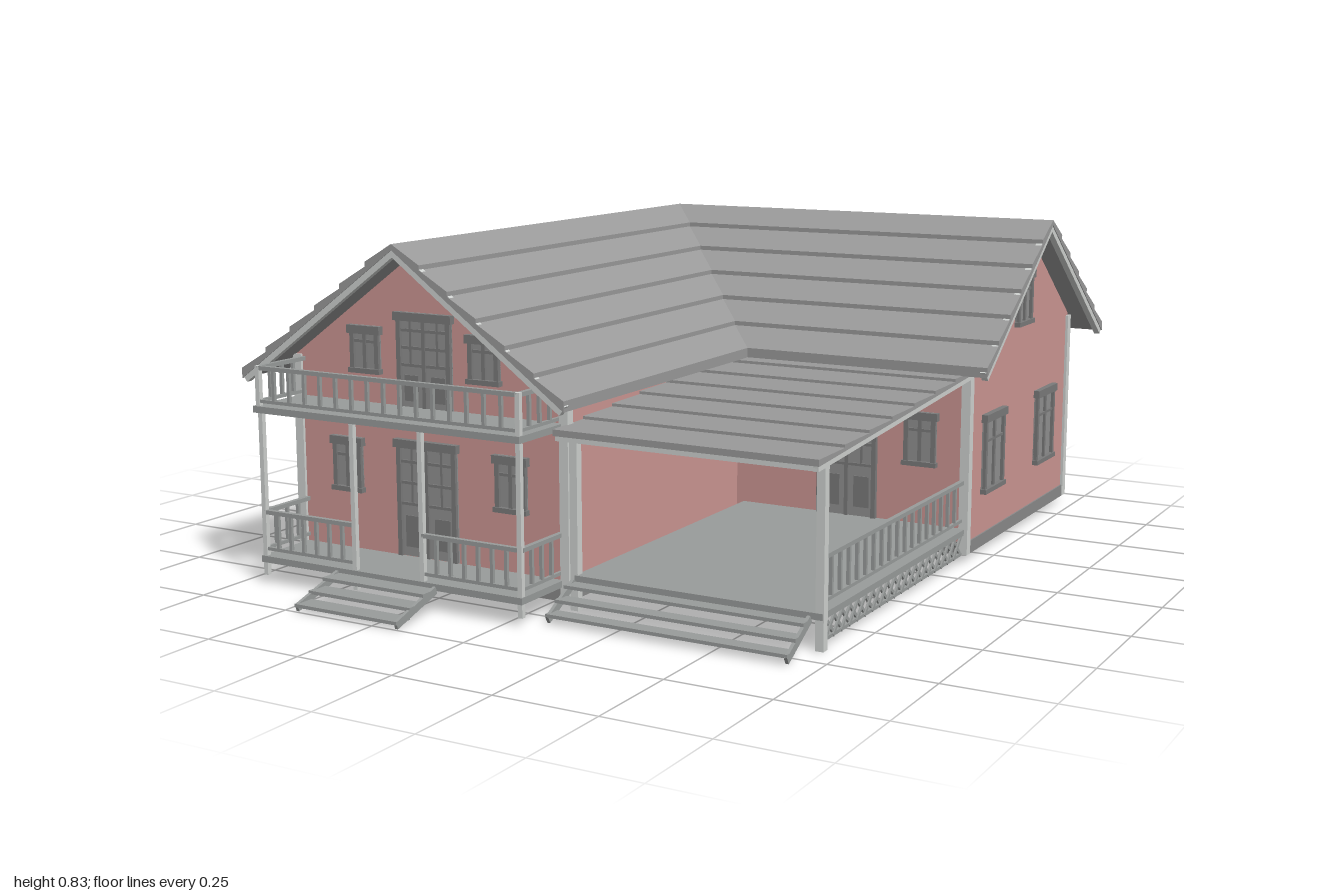
import * as THREE from 'three';

const mat = (name, color, side = THREE.FrontSide) => {
  const m = new THREE.MeshStandardMaterial({ color, side });
  m.name = name;
  return m;
};
const V = (x, y, z) => new THREE.Vector3(x, y, z);

export function createModel() {
  const house = new THREE.Group();
  house.name = 'house';
  const wall = mat('wall pink', 0xcc9693);
  const trim = mat('trim pale grey', 0xcfd2d0);
  const roofMat = mat('roof grey', 0x9a9a9a, THREE.DoubleSide);
  const wood = mat('timber grey', 0x999c9b);
  const frame = mat('frame dark grey', 0x7a7a7a);
  const pane = mat('pane grey', 0x909090);
  const stone = mat('stone grey', 0x8a8a8a);

  const group = (name, parent = house) => {
    const g = new THREE.Group();
    g.name = name;
    parent.add(g);
    return g;
  };
  const add = (parent, name, geo, m) => {
    const mesh = new THREE.Mesh(geo, m);
    mesh.name = name;
    parent.add(mesh);
    return mesh;
  };
  // Box given by its limits
  const box = (parent, name, m, x0, x1, y0, y1, z0, z1) => {
    const mesh = add(parent, name, new THREE.BoxGeometry(x1 - x0, y1 - y0, z1 - z0), m);
    mesh.position.set((x0 + x1) / 2, (y0 + y1) / 2, (z0 + z1) / 2);
    return mesh;
  };
  // Straight bar between two points
  const bar = (parent, name, m, p, q, w, h = w) => {
    const mesh = new THREE.Mesh(new THREE.BoxGeometry(w, h, p.distanceTo(q)), m);
    mesh.name = name;
    mesh.position.copy(p).add(q).multiplyScalar(0.5);
    mesh.lookAt(q);
    parent.add(mesh);
  };

  // Walls: two gabled blocks joined in an L
  const walls = group('walls');
  const gable = (half, depth) => {
    const s = new THREE.Shape([
      new THREE.Vector2(-half, 0.02), new THREE.Vector2(half, 0.02),
      new THREE.Vector2(half, 0.54), new THREE.Vector2(0, 0.54 + half * 0.728),
      new THREE.Vector2(-half, 0.54)]);
    return new THREE.ExtrudeGeometry(s, { depth, bevelEnabled: false });
  };
  add(walls, 'frontWing', gable(0.39, 1.21), wall).position.set(-0.325, 0, -0.53);
  const main = add(walls, 'mainBlock', gable(0.38, 1.035), wall);
  main.rotation.y = Math.PI / 2;
  main.position.set(-0.325, 0, -0.53);
  box(walls, 'cornerBlock', wall, -0.715, -0.3, 0.02, 0.54, -0.91, -0.3);
  box(walls, 'foundationWing', stone, -0.719, 0.069, 0.018, 0.05, -0.914, 0.684);
  box(walls, 'foundationMain', stone, -0.719, 0.714, 0.018, 0.05, -0.914, -0.146);
  for (const [x, z] of [[-0.71, 0.675], [0.06, 0.675], [0.705, -0.155], [0.705, -0.905], [-0.71, -0.905]])
    box(walls, 'cornerBoard', trim, x - 0.012, x + 0.012, 0.02, 0.535, z - 0.012, z + 0.012);

  // Roof slope a-b (eave) to d-c (ridge), laid in lapped courses
  const roofs = group('roof');
  const slope = (name, a, b, c, d, n, lip = 0.011, thick = 0.014) => {
    const pos = [];
    const quad = (p, q, r, s) => [p, q, r, p, r, s].forEach(v => pos.push(v.x, v.y, v.z));
    const up = (v, h) => V(v.x, v.y + h, v.z);
    for (let i = 0; i < n; i++) {
      const l0 = a.clone().lerp(d, i / n), r0 = b.clone().lerp(c, i / n);
      const l1 = a.clone().lerp(d, (i + 1) / n), r1 = b.clone().lerp(c, (i + 1) / n);
      quad(up(l0, lip), up(r0, lip), r1, l1);
      quad(l0, r0, up(r0, lip), up(l0, lip));
      quad(up(l0, -thick), up(l0, lip), l1, up(l1, -thick));
      quad(up(r0, lip), up(r0, -thick), up(r1, -thick), r1);
    }
    quad(up(b, -thick), up(a, -thick), up(d, -thick), up(c, -thick));
    quad(up(a, -thick), up(b, -thick), b, a);
    const g = new THREE.BufferGeometry();
    g.setAttribute('position', new THREE.Float32BufferAttribute(pos, 3));
    g.computeVertexNormals();
    add(roofs, name, g, roofMat);
  };
  const E = 0.5, R = 0.832;
  const hip = V(-0.325, R, -0.53), front = V(-0.325, R, 0.8), end = V(0.785, R, -0.53);
  const backCorner = V(-0.785, E, -0.99), valley = V(0.135, E, -0.07);
  slope('leftSlope', backCorner, V(-0.785, E, 0.8), front, hip, 6);
  slope('backSlope', V(0.785, E, -0.99), backCorner, hip, end, 6);
  slope('frontSlope', valley, V(0.785, E, -0.07), end, hip, 6);
  slope('wingSlope', V(0.135, E, 0.8), valley, hip, front, 6);
  slope('porchRoof', V(0.066, 0.425, 0.74), V(0.722, 0.425, 0.74), V(0.722, 0.488, -0.15), V(0.066, 0.488, -0.15), 7, 0.007, 0.008);

  // Bargeboards and porch fascia
  for (const s of [-1, 1]) {
    bar(roofs, 'frontBargeboard', trim, V(-0.325 + s * 0.455, 0.488, 0.79), V(-0.325, 0.817, 0.79), 0.016, 0.026);
    bar(roofs, 'endBargeboard', trim, V(0.775, 0.488, -0.53 + s * 0.455), V(0.775, 0.817, -0.53), 0.016, 0.026);
  }
  bar(roofs, 'porchSideFascia', trim, V(0.712, 0.412, 0.735), V(0.712, 0.474, -0.145), 0.012, 0.016);
  box(roofs, 'porchFrontFascia', trim, 0.07, 0.716, 0.405, 0.421, 0.72, 0.735);

  // Chimney with a hollow cap
  const chimney = group('chimney');
  box(chimney, 'shaft', stone, 0.325, 0.485, 0.02, 0.67, -0.994, -0.905);
  const rect = (T, w, h) => new T([[-w, -h], [w, -h], [w, h], [-w, h]].map(p => new THREE.Vector2(...p)));
  const capShape = rect(THREE.Shape, 0.095, 0.05);
  capShape.holes.push(rect(THREE.Path, 0.078, 0.033));
  const cap = add(chimney, 'cap', new THREE.ExtrudeGeometry(capShape, { depth: 0.06, bevelEnabled: false }), stone);
  cap.rotation.x = -Math.PI / 2;
  cap.position.set(0.405, 0.66, -0.95);

  // Windows and doors, built facing +z with the sill at the origin
  const place = (name, x, y, z, turn) => {
    const g = group(name);
    g.position.set(x, y, z);
    g.rotation.y = turn;
    return g;
  };
  const surround = (g, w, h, sill) => {
    const t = 0.012;
    for (const s of [-1, 1])
      box(g, 'jamb', frame, s * (w / 2 - t / 2) - t / 2, s * (w / 2 - t / 2) + t / 2, 0, h, 0, 0.012);
    box(g, 'head', frame, -w / 2 - 0.006, w / 2 + 0.006, h - 0.02, h, 0, 0.016);
    if (sill) box(g, 'sill', frame, -w / 2 - 0.004, w / 2 + 0.004, 0, 0.012, 0, 0.016);
  };
  const makeWindow = (x, y, z, turn, w, h) => {
    const g = place('window', x, y, z, turn);
    box(g, 'pane', pane, -w / 2, w / 2, 0, h, 0, 0.004);
    surround(g, w, h, true);
    box(g, 'mullion', frame, -0.005, 0.005, 0, h, 0, 0.01);
    box(g, 'transom', frame, -w / 2, w / 2, h * 0.64, h * 0.64 + 0.007, 0, 0.009);
  };
  const makeDoor = (x, y, z, w, h) => {
    const g = place('door', x, y, z, 0);
    box(g, 'leaves', pane, -w / 2, w / 2, 0, h, 0, 0.004);
    surround(g, w, h, false);
    box(g, 'meetingStile', frame, -0.005, 0.005, 0, h, 0, 0.01);
    for (const s of [-1, 1]) {
      box(g, 'glazingBar', frame, s * w / 4 - 0.003, s * w / 4 + 0.003, h * 0.45, h, 0, 0.008);
      box(g, 'lowerPanel', frame, s * w / 4 - w * 0.13, s * w / 4 + w * 0.13, h * 0.08, h * 0.35, 0, 0.007);
    }
    for (const f of [0.44, 0.62, 0.8]) box(g, 'rail', frame, -w / 2, w / 2, h * f, h * f + 0.007, 0, 0.009);
  };
  for (const s of [-1, 1]) {
    makeWindow(-0.323 + s * 0.238, 0.21, 0.68, 0, 0.085, 0.135);
    makeWindow(-0.327 + s * 0.172, 0.505, 0.68, 0, 0.085, 0.115);
    makeWindow(0.385 + s * 0.2, 0.235, -0.15, 0, 0.085, 0.138);
    makeWindow(0.71, 0.155, -0.518 + s * 0.198, Math.PI / 2, 0.14, 0.205);
  }
  makeWindow(0.71, 0.555, -0.525, Math.PI / 2, 0.108, 0.14);
  for (const x of [0.145, -0.293]) makeWindow(x, 0.14, -0.91, Math.PI, 0.14, 0.205);
  for (const z of [-0.625, -0.105, 0.41]) makeWindow(-0.715, 0.14, z, -Math.PI / 2, 0.14, 0.205);
  makeDoor(-0.325, 0.07, 0.68, 0.172, 0.285);
  makeDoor(-0.325, 0.43, 0.68, 0.155, 0.23);
  makeDoor(0.385, 0.085, -0.15, 0.165, 0.3);

  // Railing with evenly spaced balusters
  const railing = (x0, z0, x1, z1, y0, y1, gap = 0.04) => {
    const g = group('railing');
    const p = V(x0, y0, z0), q = V(x1, y0, z1), n = Math.max(1, Math.round(p.distanceTo(q) / gap));
    bar(g, 'bottomRail', wood, p, q, 0.008);
    bar(g, 'handrail', wood, V(x0, y1, z0), V(x1, y1, z1), 0.012, 0.01);
    for (let i = 1; i < n; i++) {
      const c = p.clone().lerp(q, i / n);
      box(g, 'baluster', wood, c.x - 0.004, c.x + 0.004, y0, y1, c.z - 0.004, c.z + 0.004);
    }
  };
  const post = (x, z, y0, y1, w = 0.008) => box(house, 'post', trim, x - w, x + w, y0, y1, z - w, z + w);

  // Front veranda with a balcony above it
  box(house, 'verandaFloor', wood, -0.7, 0.052, 0.052, 0.068, 0.68, 0.85);
  box(house, 'balconyFloor', wood, -0.705, 0.055, 0.418, 0.434, 0.68, 0.855);
  for (const x of [-0.692, -0.42, -0.225, 0.044]) post(x, 0.84, 0.02, 0.42, 0.006);
  for (const x of [-0.695, 0.046]) {
    post(x, 0.843, 0.43, 0.53, 0.006);
    railing(x, 0.68, x, 0.843, 0.445, 0.525);
    railing(x, 0.68, x, 0.84, 0.085, 0.175);
  }
  railing(-0.695, 0.843, 0.046, 0.843, 0.445, 0.525, 0.046);
  railing(-0.692, 0.84, -0.42, 0.84, 0.085, 0.175);
  railing(-0.225, 0.84, 0.044, 0.84, 0.085, 0.175);

  // Side porch with railing and lattice skirt
  box(house, 'porchFloor', wood, 0.085, 0.708, 0.07, 0.085, -0.15, 0.685);
  post(0.7, 0.672, 0.0, 0.425, 0.01);
  post(0.082, 0.672, 0.0, 0.425, 0.01);
  railing(0.7, -0.14, 0.7, 0.67, 0.108, 0.205, 0.044);
  const lattice = group('lattice');
  for (let i = 0; i < 19; i++) {
    const z = -0.14 + i * 0.0415;
    bar(lattice, 'slat', wood, V(0.7, 0.02, z), V(0.7, 0.075, z + 0.055), 0.005, 0.008);
    bar(lattice, 'slat', wood, V(0.703, 0.075, z), V(0.703, 0.02, z + 0.055), 0.005, 0.008);
  }
  bar(lattice, 'skirtRail', wood, V(0.7, 0.022, -0.14), V(0.7, 0.022, 0.67), 0.008);

  // Open flights of steps
  const steps = (x0, x1, z0, z1, top) => {
    const g = group('steps'), n = 3, d = (z1 - z0) / n;
    for (let i = 0; i < n; i++) {
      const y = top - (i + 0.6) * top / (n + 0.6), z = z0 + i * d;
      box(g, 'tread', wood, x0, x1, y - 0.008, y, z, z + d);
    }
    for (const x of [x0 + 0.004, x1 - 0.004])
      bar(g, 'stringer', wood, V(x, top - 0.014, z0), V(x, 0.009, z1 - 0.004), 0.008, 0.018);
  };
  steps(-0.472, -0.182, 0.85, 1.0, 0.068);
  steps(0.08, 0.682, 0.685, 0.8, 0.085);

  return house;
}
